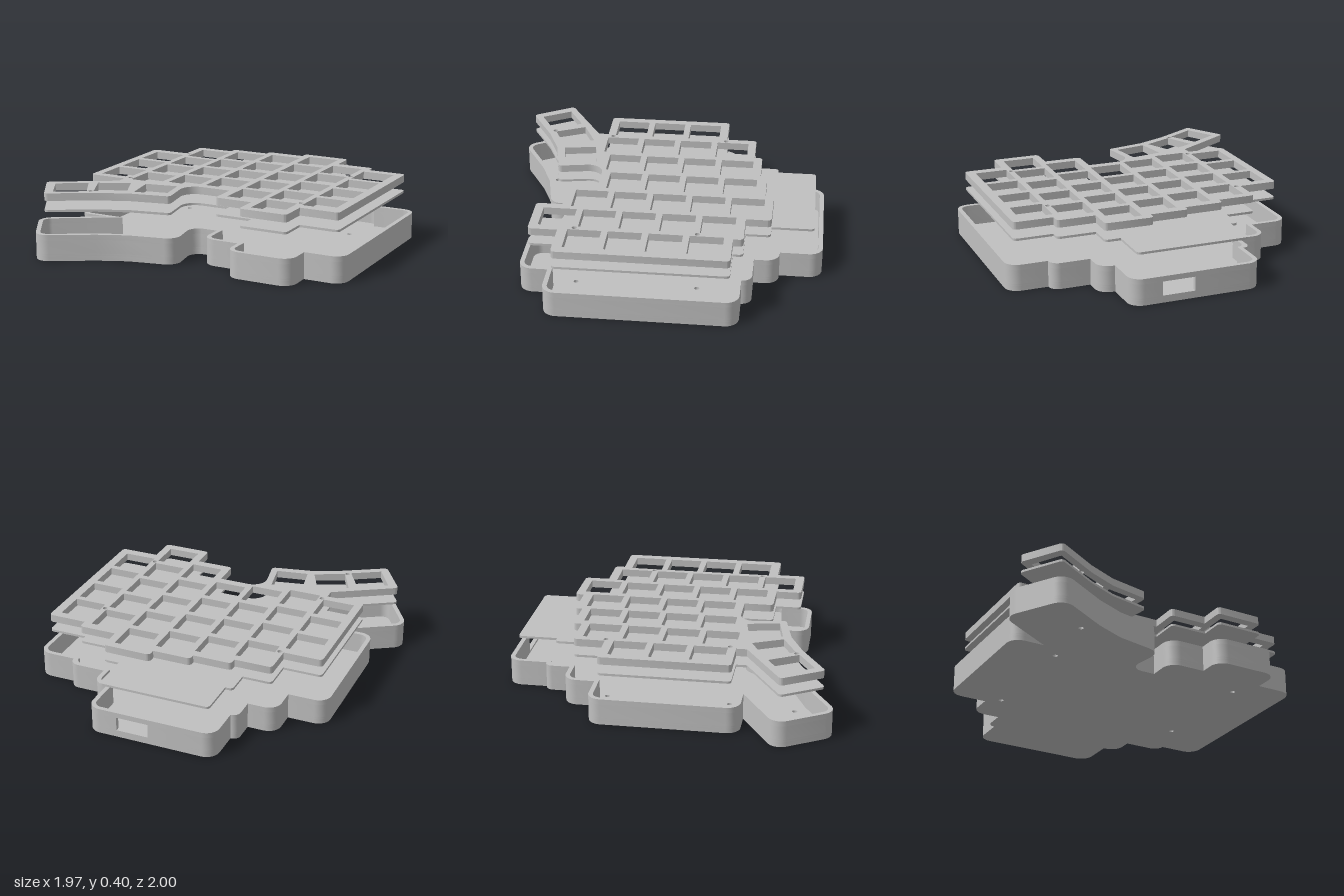
import * as THREE from 'three';
import { toCreasedNormals } from 'three/addons/utils/BufferGeometryUtils.js';

// Outlines are [x, z] corners, clockwise seen from above.
const CROTCH = [-0.66, 0.475]; // sharp notch between main block and thumb cluster
const FILLET = [-0.077, 0.443]; // the one rounded inside corner
const BODY = [
  [0.505, -0.745], [0.505, -0.595], [0.742, -0.595], [0.742, -0.535], [0.984, -0.535],
  [0.984, 0.602], [0.742, 0.602], [0.742, 0.778], [0.328, 0.778], [0.328, 0.622],
  [0.093, 0.622], [0.093, 0.443], FILLET, [-0.028, 0.714], [-0.325, 0.775], [-0.5, 0.85],
  [-0.808, 1.027], [-1.015, 0.687], CROTCH, [-0.86, 0.475], [-0.86, -0.416],
  [-0.62, -0.416], [-0.62, -0.606],
];
// Starts and ends at the sides of the port opening in the back wall
const CASE = [[0.22, -1], [0.409, -1], [0.409, -0.745], ...BODY,
  [-0.44, -0.606], [-0.44, -0.76], [-0.395, -0.76], [-0.395, -1], [0.02, -1]];
const FRAME = [...BODY, [-0.388, -0.606], [-0.388, -0.655], [-0.148, -0.655], [-0.148, -0.697],
  [0.09, -0.697], [0.09, -0.75]];

const SCREWS = [[-0.538, -0.355], [-0.538, 0.381], [0.65, -0.27], [0.65, 0.449], [-0.577, 0.77]];
// Key columns: x, first z, count
const COLUMNS = [[-0.654, -0.206, 3], [-0.416, -0.4, 4], [-0.178, -0.445, 4], [0.059, -0.48, 4],
  [0.3, -0.54, 5], [0.535, -0.382, 5], [0.771, -0.326, 4]];
// Thumb keys: x, z, turn in degrees
const THUMBS = [[-0.73, 0.752, 30], [-0.513, 0.632, 25], [-0.258, 0.554, 10]];
const PITCH = 0.2375, KEY = 0.199;

const toVectors = (list) => list.map(([x, z]) => new THREE.Vector2(x, z));
const inward = (d) => new THREE.Vector2(-d.y, d.x);
const edgesAt = (pts, i) => {
  const n = pts.length, p = pts[i], a = pts[(i + n - 1) % n], b = pts[(i + 1) % n];
  return [p.clone().sub(a), b.clone().sub(p)];
};

// Moves every edge inward by d
function inset(pts, d) {
  return pts.map((p, i) => {
    const [e1, e2] = edgesAt(pts, i);
    const n1 = inward(e1.normalize()), n2 = inward(e2.normalize());
    return p.clone().addScaledVector(n1.clone().add(n2), d / (1 + n1.dot(n2)));
  });
}

// Rounds the outside corners and the one filleted inside corner
function round(pts, radius, filletIndex, filletRadius, steps = 8) {
  return pts.flatMap((p, i) => {
    const [e1, e2] = edgesAt(pts, i);
    const limit = 0.98 * Math.min(e1.length(), e2.length());
    e1.normalize(); e2.normalize();
    const cross = e1.cross(e2), turn = Math.atan2(cross, e1.dot(e2));
    if (cross < 0.03 && i !== filletIndex) return [p.clone()];
    const half = Math.tan(Math.abs(turn) / 2);
    const t = Math.min((i === filletIndex ? filletRadius : radius) * half, limit);
    const start = p.clone().addScaledVector(e1, -t);
    const centre = start.clone().addScaledVector(inward(e1), Math.sign(cross) * t / half);
    return Array.from({ length: steps + 1 },
      (_, k) => start.clone().rotateAround(centre, turn * k / steps));
  });
}

// Plan points to shape points, counter-clockwise for an outline
const toShape = (pts) => pts.map((p) => new THREE.Vector2(p.x, -p.y)).reverse();

function circle([x, z], r = 0.015) {
  return Array.from({ length: 20 }, (_, k) => new THREE.Vector2(
    x + r * Math.cos(k * Math.PI / 10), z + r * Math.sin(k * Math.PI / 10)));
}

function square(x, z, degrees = 0) {
  const c = new THREE.Vector2(x, z), h = KEY / 2;
  return toVectors([[x - h, z - h], [x + h, z - h], [x + h, z + h], [x - h, z + h]])
    .map((p) => p.rotateAround(c, -degrees * Math.PI / 180));
}

export function createModel() {
  const group = new THREE.Group();
  const grey = new THREE.MeshStandardMaterial({ color: 0xc0c0c0 });
  grey.name = 'grey';

  // Flat slab between two heights
  function slab(name, outline, holes, y0, y1) {
    const shape = new THREE.Shape(toShape(outline));
    shape.holes = holes.map((h) => new THREE.Path(toShape(h)));
    const geo = new THREE.ExtrudeGeometry(shape, { depth: y1 - y0, bevelEnabled: false });
    geo.rotateX(-Math.PI / 2).translate(0, y0, 0);
    const mesh = new THREE.Mesh(toCreasedNormals(geo, 0.6), grey);
    mesh.name = name;
    group.add(mesh);
  }

  // Tray: floor with screw holes, wall with a port opening at the back
  const casePts = toVectors(CASE), caseFillet = CASE.indexOf(FILLET);
  const outer = round(casePts, 0.08, caseFillet, 0.07);
  const inner = round(inset(casePts, 0.027), 0.053, caseFillet, 0.097);
  const screws = SCREWS.map((s) => circle(s));
  slab('caseFloor', outer, screws, 0, 0.03);
  slab('caseWallLower', outer, [inner], 0.03, 0.043);
  slab('caseWallPortBand', [...outer, ...inner.slice().reverse()], [], 0.043, 0.128);
  slab('caseWallUpper', outer, [inner], 0.128, 0.16);

  // Plates sit inside the wall line, with a small step at the thumb notch
  const plateOutline = (list) => {
    const pts = inset(toVectors(list), 0.057);
    pts.splice(list.indexOf(CROTCH), 1, ...toVectors([[-0.562, 0.482], [-0.562, 0.418]]));
    return round(pts, 0.023, list.indexOf(FILLET), 0.09);
  };
  slab('middlePlate', plateOutline(CASE), [], 0.285, 0.299);

  // Top frame with key openings
  const keys = COLUMNS.flatMap(([x, z, count]) =>
    Array.from({ length: count }, (_, k) => square(x, z + k * PITCH)));
  const thumbs = THUMBS.map((t) => square(...t));
  slab('keyFrame', plateOutline(FRAME), [...keys, ...thumbs, ...screws], 0.354, 0.4);

  return group;
}
